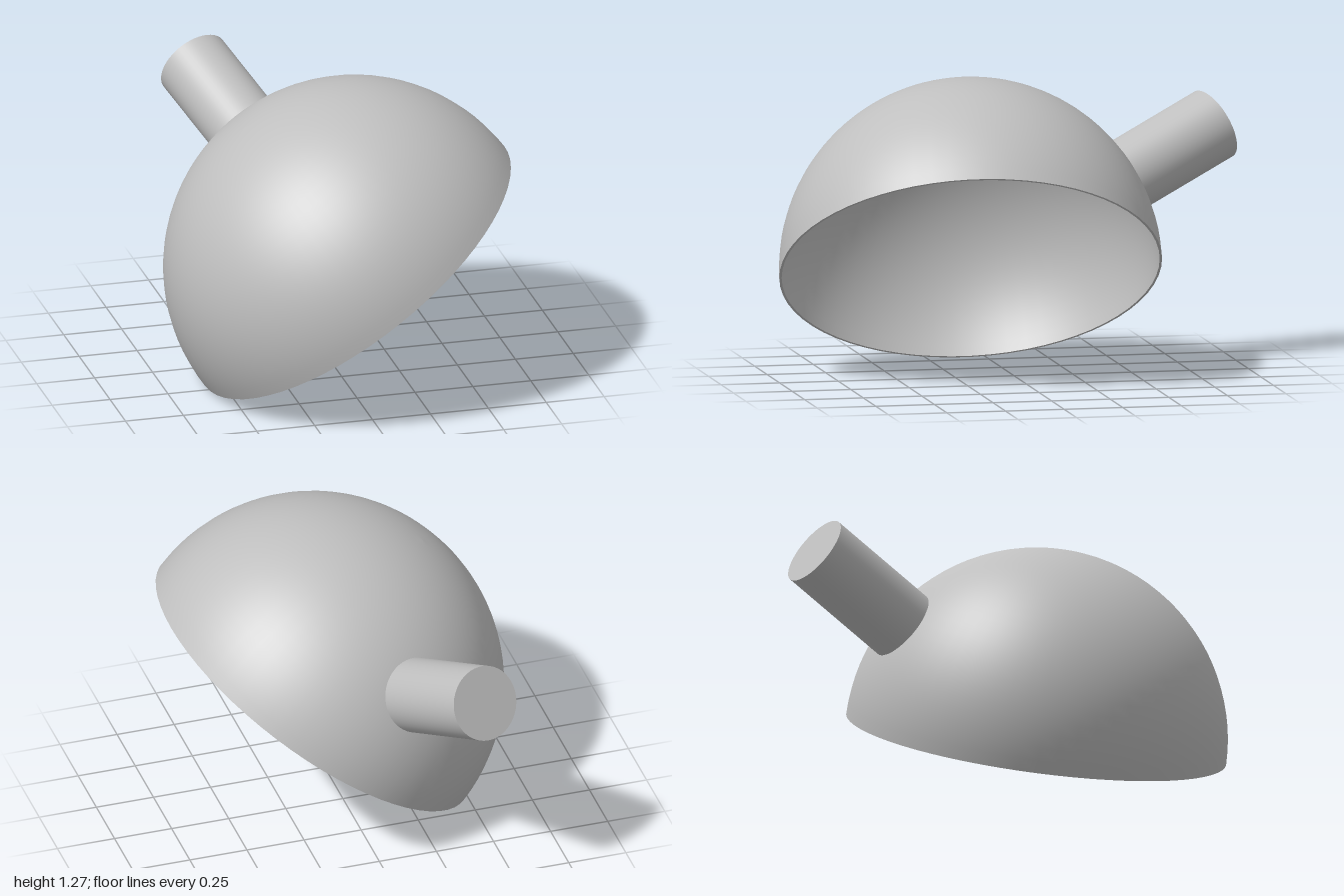
import * as THREE from 'three';

const CENTER = new THREE.Vector3(0.07, 0.47, 0.2);
const OUTER = 0.8, INNER = 0.79;
const UP = new THREE.Vector3(0, 1, 0);

// Quarter arc from one polar angle (0 = rim, 90 degrees = pole) to another
function arc(radius, from, to, steps = 24) {
  return Array.from({ length: steps + 1 }, (_, i) => {
    const a = from + (to - from) * i / steps;
    return new THREE.Vector2(Math.max(0, radius * Math.cos(a)), radius * Math.sin(a));
  });
}

export function createModel() {
  const model = new THREE.Group();
  model.name = 'domeWithStem';
  const grey = new THREE.MeshStandardMaterial({ color: 0xbfbfbf });
  grey.name = 'grey';

  function add(parent, name, geometry) {
    const mesh = new THREE.Mesh(geometry, grey);
    mesh.name = name;
    parent.add(mesh);
    return mesh;
  }

  // Thin hemispherical shell: outside, inside and the narrow rim between them
  const dome = new THREE.Group();
  dome.name = 'dome';
  const profiles = {
    domeOutside: arc(OUTER, 0, Math.PI / 2),
    domeInside: arc(INNER, Math.PI / 2, 0),
    domeRim: [new THREE.Vector2(INNER, 0), new THREE.Vector2(OUTER, 0)],
  };
  for (const [name, points] of Object.entries(profiles)) {
    add(dome, name, new THREE.LatheGeometry(points, 64));
  }
  dome.position.copy(CENTER);
  dome.quaternion.setFromUnitVectors(UP, new THREE.Vector3(-0.583, 0.81, -0.066).normalize());
  model.add(dome);

  // Round stem standing straight out of the shell, closed at its far end
  const stem = new THREE.Group();
  stem.name = 'stem';
  const radius = 0.157, start = 0.783, end = 1.298;
  const side = new THREE.CylinderGeometry(radius, radius, end - start, 48, 1, true);
  add(stem, 'stemSide', side.translate(0, (start + end) / 2, 0));
  const cap = new THREE.CircleGeometry(radius, 48).rotateX(-Math.PI / 2);
  add(stem, 'stemCap', cap.translate(0, end, 0));
  stem.position.copy(CENTER);
  stem.quaternion.setFromUnitVectors(UP, new THREE.Vector3(-0.4, 0.52, -1.125).normalize());
  model.add(stem);

  return model;
}
